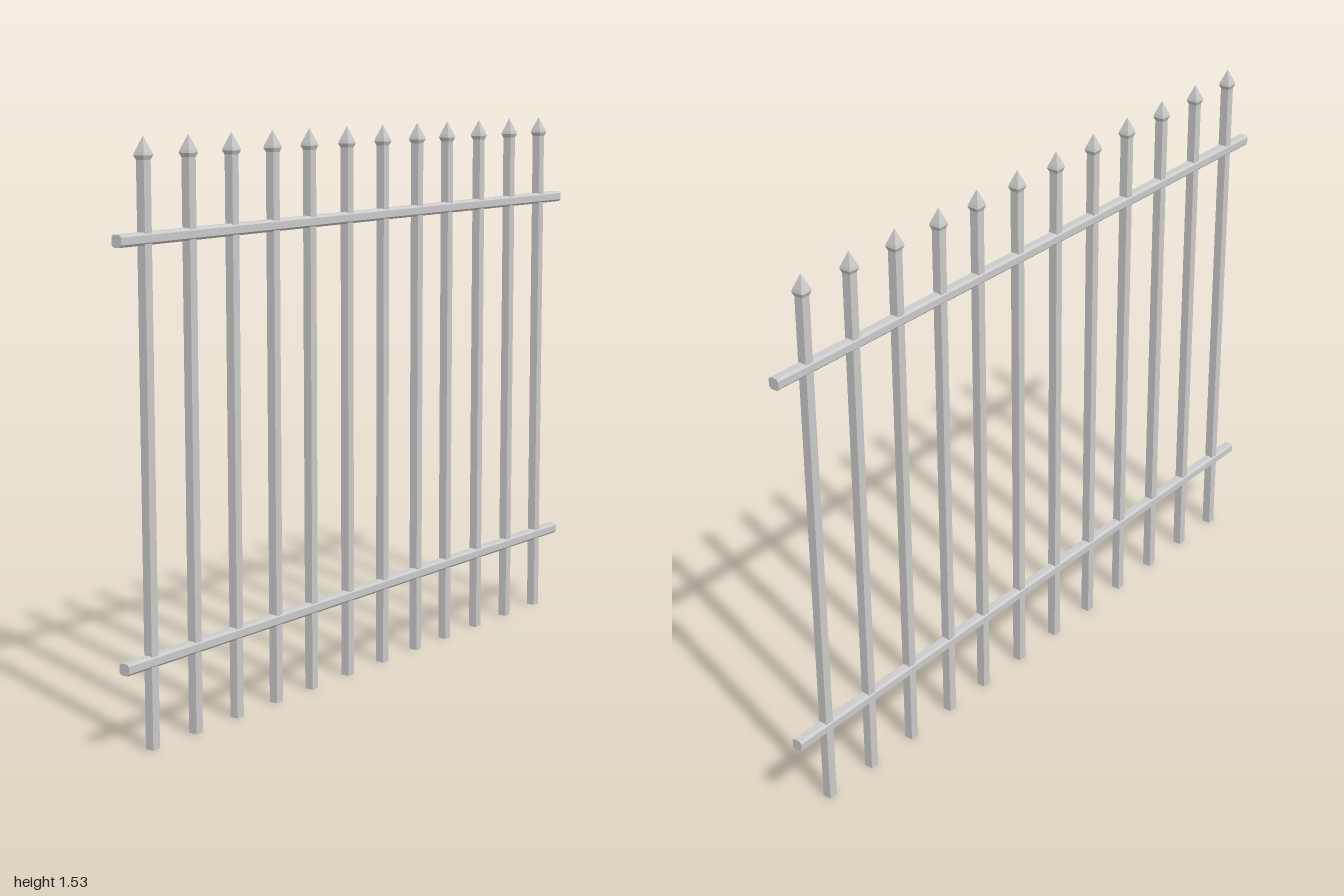
import * as THREE from 'three';

const material = new THREE.MeshStandardMaterial({ color: 0xcccccc, flatShading: true });

// Four-sided turned shape with its faces square to the axes; points are [halfWidth, y]
function squareLathe(points) {
  const profile = points.map(([half, y]) => new THREE.Vector2(half * Math.SQRT2, y));
  return new THREE.LatheGeometry(profile, 4, Math.PI / 4);
}

// Bar along x with a chamfered square section
function railGeometry(length, size, chamfer) {
  const h = size / 2, c = h - chamfer;
  const section = new THREE.Shape(
    [[c, -h], [h, -c], [h, c], [c, h], [-c, h], [-h, c], [-h, -c], [-c, -h]]
      .map(([x, y]) => new THREE.Vector2(x, y)));
  return new THREE.ExtrudeGeometry(section, { depth: length, bevelEnabled: false })
    .translate(0, 0, -length / 2)
    .rotateY(Math.PI / 2);
}

export function createModel() {
  const fence = new THREE.Group();
  fence.name = 'fence';

  const add = (parent, name, geometry, x, y) => {
    const mesh = new THREE.Mesh(geometry, material);
    mesh.name = name;
    mesh.position.set(x, y, 0);
    parent.add(mesh);
  };

  // Two horizontal rails
  const rail = railGeometry(2, 0.031, 0.006);
  add(fence, 'lowerRail', rail, 0, 0.228);
  add(fence, 'upperRail', rail, 0, 1.282);

  // Upright pickets in three runs of four, each with a spear point
  const bar = new THREE.BoxGeometry(0.025, 1.475, 0.025);
  const spear = squareLathe([[0, 0], [0.012, 0], [0.017, 0.012], [0.015, 0.02], [0, 0.058]]);
  for (const start of [-0.9, -0.25, 0.395]) {
    for (let i = 0; i < 4; i++) {
      const picket = new THREE.Group();
      picket.name = 'picket';
      picket.position.x = start + i * 0.165;
      add(picket, 'bar', bar, 0, 0.7375);
      add(picket, 'spearPoint', spear, 0, 1.47);
      fence.add(picket);
    }
  }
  return fence;
}
